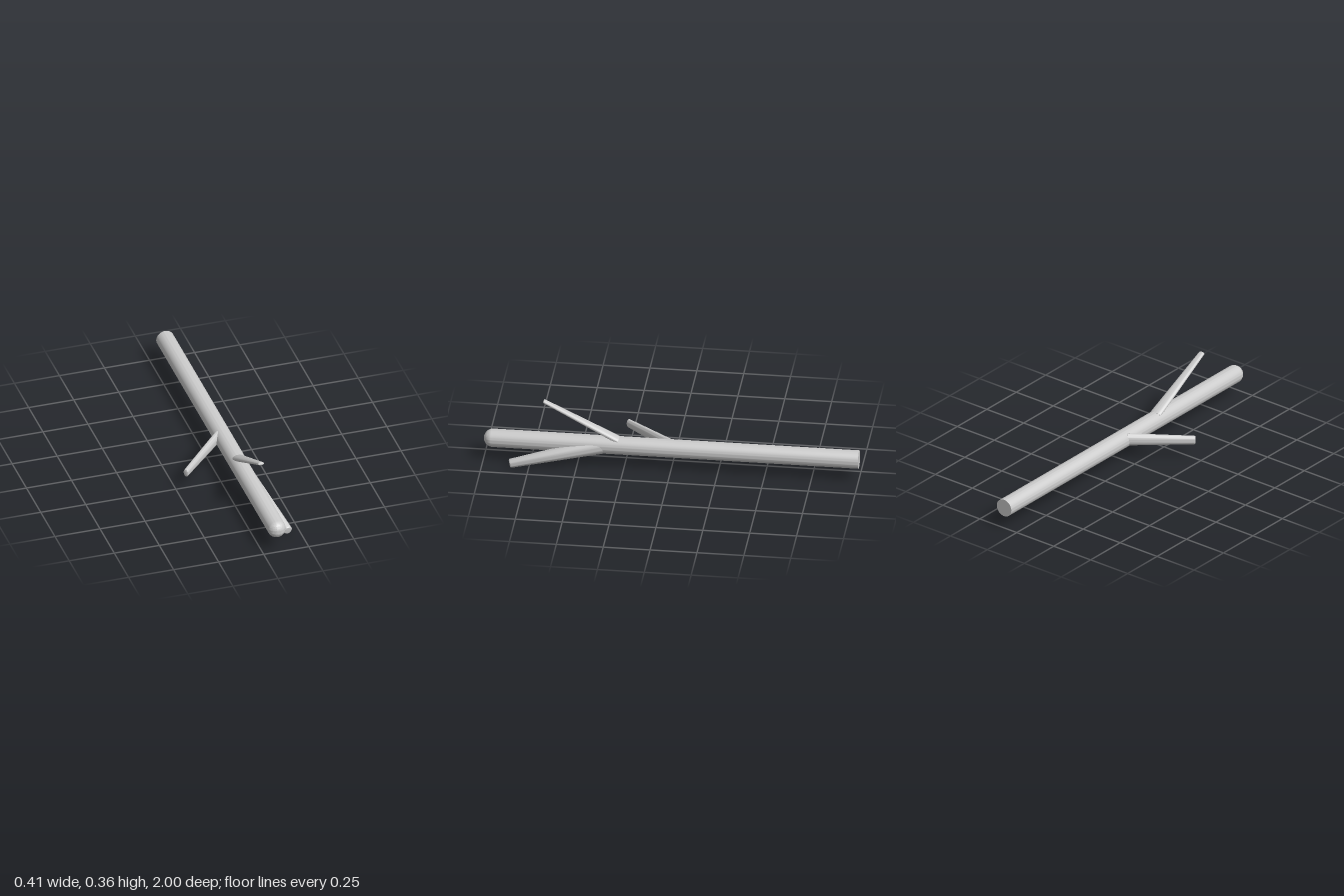
import * as THREE from 'three';
import { toCreasedNormals } from 'three/addons/utils/BufferGeometryUtils.js';

const material = new THREE.MeshStandardMaterial({ color: 0xcccccc });
const v = (x, y, z) => new THREE.Vector3(x, y, z);

// Lathed rod from start to end: flat base, tip rounded along a quarter ellipse.
// wideAxis carries the full radius, the third direction is scaled by flatness.
function rod(name, { start, end, baseRadius, tipRadius, tipFlat, tipDepth, wideAxis, flatness = 1, sides = 40 }) {
  const length = start.distanceTo(end);
  const profile = [new THREE.Vector2(0, 0), new THREE.Vector2(baseRadius, 0)];
  const steps = 10;
  for (let i = 0; i <= steps; i++) {
    const a = (i / steps) * Math.PI / 2;
    profile.push(new THREE.Vector2(
      tipFlat + (tipRadius - tipFlat) * Math.cos(a),
      length - tipDepth * (1 - Math.sin(a))
    ));
  }
  if (tipFlat > 0) profile.push(new THREE.Vector2(0, length));
  else profile[profile.length - 1].x = 0;

  const geometry = toCreasedNormals(new THREE.LatheGeometry(profile, sides), 0.6);
  const along = end.clone().sub(start).normalize();
  const third = wideAxis.clone().cross(along).normalize();
  const wide = along.clone().cross(third);
  geometry.scale(1, 1, flatness);
  geometry.applyMatrix4(new THREE.Matrix4().makeBasis(wide, along, third).setPosition(start));

  const mesh = new THREE.Mesh(geometry, material);
  mesh.name = name;
  return mesh;
}

export function createModel() {
  const group = new THREE.Group();
  group.name = 'branchedRod';

  group.add(
    // Main stem with a domed front end
    rod('stem', {
      start: v(0.086, 0.122, -1), end: v(0.086, 0.122, 1),
      baseRadius: 0.049, tipRadius: 0.049, tipFlat: 0, tipDepth: 0.049, wideAxis: v(1, 0, 0), sides: 48,
    }),
    // Flattened branch rising forward
    rod('upperBranch', {
      start: v(0.086, 0.156, 0.285), end: v(0.086, 0.362, 0.682),
      baseRadius: 0.034, tipRadius: 0.0175, tipFlat: 0.012, tipDepth: 0.006, wideAxis: v(1, 0, 0), flatness: 0.5,
    }),
    // Flattened branch leaning out to the right
    rod('rightBranch', {
      start: v(0.06, 0.128, 0.008), end: v(-0.2, 0.103, 0.265),
      baseRadius: 0.035, tipRadius: 0.0245, tipFlat: 0.017, tipDepth: 0.007, wideAxis: v(0, 1, 0), flatness: 0.6,
    }),
    // Thick round branch dropping forward and left
    rod('lowerBranch', {
      start: v(0.086, 0.122, 0.35), end: v(0.183, 0.026, 0.852),
      baseRadius: 0.046, tipRadius: 0.0245, tipFlat: 0.017, tipDepth: 0.008, wideAxis: v(1, 0, 0),
    })
  );
  return group;
}
